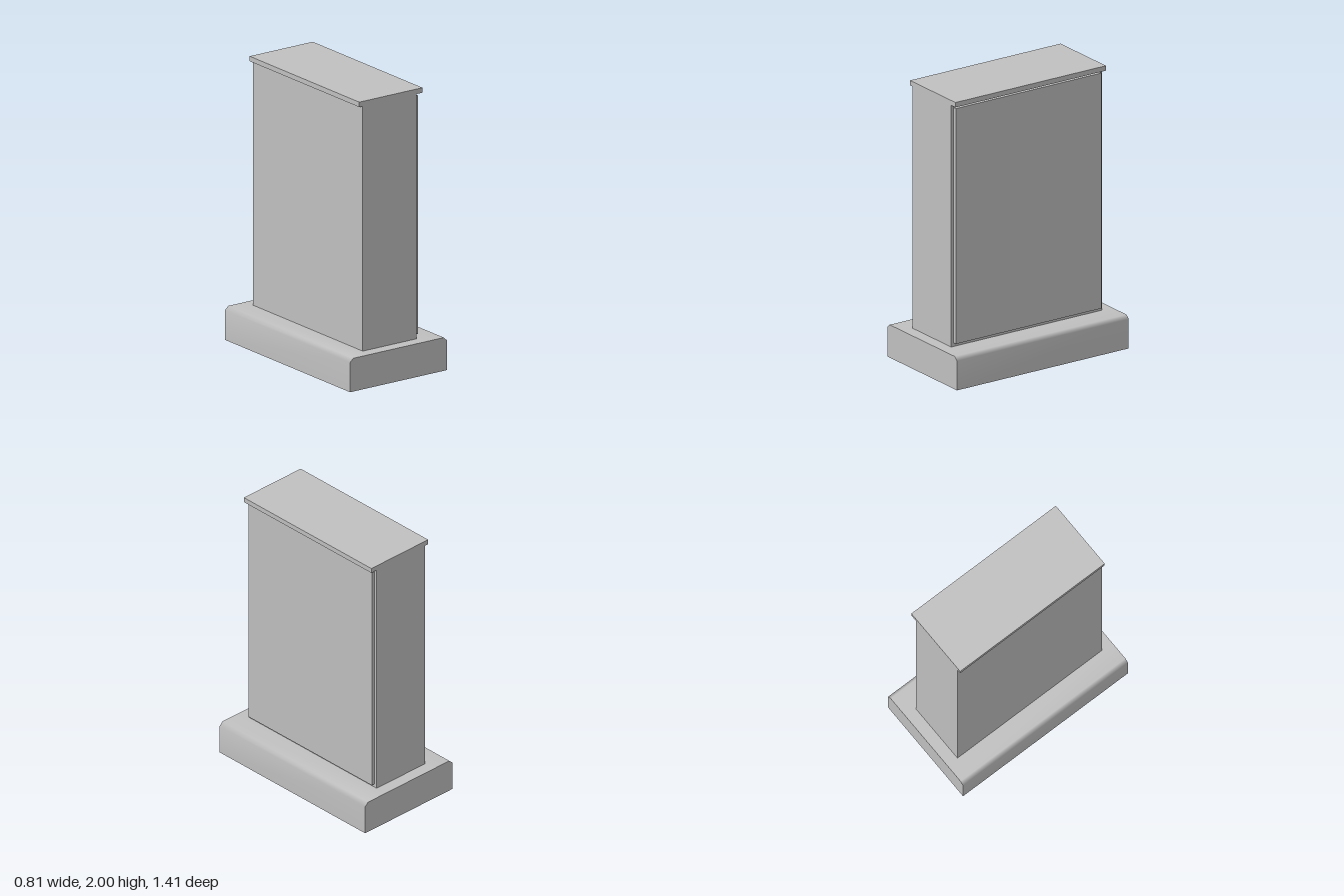
import * as THREE from 'three';
import { mergeVertices } from 'three/addons/utils/BufferGeometryUtils.js';

const shell = new THREE.MeshStandardMaterial({ color: 0xc0c0c0, side: THREE.DoubleSide });
shell.name = 'plain grey';

// Sheet swept along z through an open profile of [x, y] points.
function sweep(points, halfDepth, smooth) {
  const pos = [];
  const index = [];
  points.forEach(([x, y], i) => {
    pos.push(x, y, halfDepth, x, y, -halfDepth);
    if (i < points.length - 1) {
      const a = 2 * i;
      index.push(a, a + 1, a + 3, a, a + 3, a + 2);
    }
  });
  let geo = new THREE.BufferGeometry();
  geo.setAttribute('position', new THREE.Float32BufferAttribute(pos, 3));
  geo.setIndex(index);
  geo = smooth ? mergeVertices(geo) : geo.toNonIndexed();
  geo.computeVertexNormals();
  return geo;
}

// Flat end face closing the profile, facing front (+1) or back (-1).
function endFace(points, halfDepth, dir) {
  const shape = new THREE.Shape(points.map(([x, y]) => new THREE.Vector2(x * dir, y)));
  const geo = new THREE.ShapeGeometry(shape);
  geo.translate(0, 0, halfDepth);
  if (dir < 0) geo.rotateY(Math.PI);
  return geo;
}

function add(parent, name, geo) {
  const mesh = new THREE.Mesh(geo, shell);
  mesh.name = name;
  parent.add(mesh);
  return mesh;
}

export function createModel() {
  const model = new THREE.Group();
  model.name = 'slabOnPlinth';

  const plinthTop = 0.235, plinthZ = 0.707, bodyZ = 0.62;
  const bodyLeft = 0.215, bodyRight = -0.235;

  // Hollow plinth, open underneath, with softened long edges
  const plinth = new THREE.Group();
  plinth.name = 'plinth';
  model.add(plinth);
  const leftHalf = [[0.405, 0], [0.405, 0.21], [0.378, plinthTop], [bodyLeft, plinthTop]];
  const rightHalf = [[bodyRight, plinthTop], [-0.378, plinthTop], [-0.405, 0.21], [-0.405, 0]];
  add(plinth, 'plinthLeftSide', sweep(leftHalf, plinthZ, true));
  add(plinth, 'plinthRightSide', sweep(rightHalf, plinthZ, true));
  for (const dir of [1, -1]) {
    const side = dir > 0 ? 'Front' : 'Back';
    add(plinth, 'plinth' + side, endFace([...leftHalf, ...rightHalf], plinthZ, dir));
    // Top strip between the body opening and the end of the plinth
    const strip = sweep([[bodyLeft, plinthTop], [bodyRight, plinthTop]], (plinthZ - bodyZ) / 2, false);
    add(plinth, 'plinthTop' + side, strip).position.z = dir * (plinthZ + bodyZ) / 2;
  }

  // Hollow upright body with its overhanging cap, open at the bottom
  const body = new THREE.Group();
  body.name = 'body';
  model.add(body);
  const bodyProfile = [
    [bodyLeft, plinthTop], [bodyLeft, 1.965], [0.264, 1.965], [0.264, 2],
    [-0.264, 2], [-0.264, 1.965], [bodyRight, 1.965], [bodyRight, plinthTop],
  ];
  add(body, 'bodySidesAndCap', sweep(bodyProfile, bodyZ, false));
  add(body, 'bodyFront', endFace(bodyProfile, bodyZ, 1));
  add(body, 'bodyBack', endFace(bodyProfile, bodyZ, -1));

  // Raised panel on the left face
  add(model, 'sidePanel', new THREE.BoxGeometry(0.025, 1.685, 1.2))
    .position.set(bodyLeft + 0.0125, 1.1025, 0);

  return model;
}
